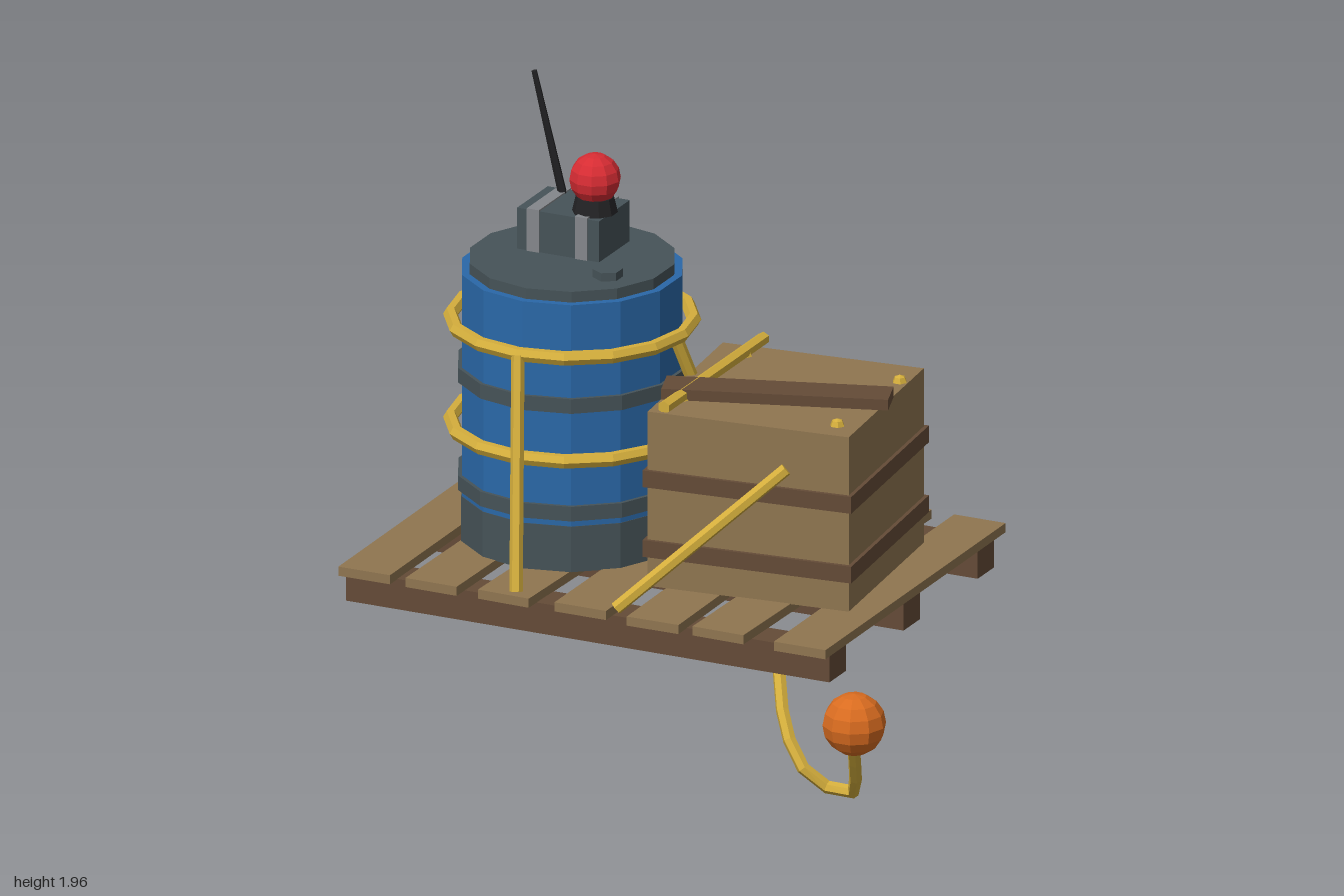
import * as THREE from 'three';

const mat = (name, color) => {
  const m = new THREE.MeshStandardMaterial({ color, flatShading: true });
  m.name = name;
  return m;
};

export function createModel() {
  const model = new THREE.Group();
  model.name = 'supplyPallet';
  const tan = mat('tanWood', 0x8f7550);
  const brown = mat('brownWood', 0x644b37);
  const blue = mat('blueSteel', 0x2a68a8);
  const slate = mat('slateMetal', 0x465358);
  const grey = mat('lightMetal', 0x84878b);
  const yellow = mat('yellowRope', 0xd4ae3c);
  const black = mat('blackRubber', 0x222224);
  const red = mat('redLens', 0xd62c33);
  const orange = mat('orangeFloat', 0xd96c20);

  const add = (name, geo, material, x = 0, y = 0, z = 0, ry = 0, parent = model) => {
    const mesh = new THREE.Mesh(geo, material);
    mesh.name = name;
    mesh.position.set(x, y, z);
    mesh.rotation.y = ry;
    parent.add(mesh);
    return mesh;
  };
  const box = (w, h, d) => new THREE.BoxGeometry(w, h, d);
  const cyl = (r0, r1, h, n) => new THREE.CylinderGeometry(r0, r1, h, n);

  // Straight rod between two points
  const rod = (name, a, b, r0, r1, sides, material) => {
    const p = new THREE.Vector3(...a), q = new THREE.Vector3(...b);
    const dir = q.clone().sub(p);
    const mid = p.clone().add(q).multiplyScalar(0.5);
    const mesh = add(name, cyl(r1, r0, dir.length(), sides), material, mid.x, mid.y, mid.z);
    mesh.quaternion.setFromUnitVectors(new THREE.Vector3(0, 1, 0), dir.normalize());
  };

  // Pallet: three runners under seven slightly crooked slats
  for (const z of [0.378, -0.142, -0.662]) add('palletRunner', box(1.67, 0.1, 0.115), brown, -0.15, 0.43, z);
  const slats = [
    [-0.9, -0.15, 0.006], [-0.655, -0.142, -0.01], [-0.4, -0.153, -0.027], [-0.15, -0.15, 0],
    [0.095, -0.142, 0.014], [0.34, -0.143, -0.018], [0.61, -0.14, 0.004],
  ];
  slats.forEach(([x, z, ry], i) =>
    add('palletSlat', box(0.178, 0.03, 1.275), tan, x, 0.494 + (i % 2) * 0.003, z, ry));

  // Barrel
  const bx = -0.467, bz = -0.1;
  add('barrelBody', cyl(0.35, 0.35, 0.73, 14), blue, bx, 1.025, bz);
  add('barrelBase', cyl(0.352, 0.352, 0.15, 14), slate, bx, 0.585, bz);
  for (const y of [0.705, 1.06]) add('barrelHoop', cyl(0.362, 0.362, 0.048, 14), slate, bx, y, bz);
  add('barrelLid', cyl(0.325, 0.325, 0.04, 14), slate, bx, 1.405, bz);
  add('barrelBung', cyl(0.047, 0.047, 0.03, 6), slate, -0.285, 1.437, 0.02);
  for (const y of [0.885, 1.225]) {
    const ring = add('barrelRope', new THREE.TorusGeometry(0.378, 0.023, 6, 16), yellow, bx, y, bz);
    ring.rotation.x = Math.PI / 2;
  }

  // Beacon unit on the lid
  add('beaconBox', box(0.283, 0.14, 0.215), slate, -0.508, 1.49, -0.192);
  for (const x of [-0.593, -0.427]) add('beaconStrap', box(0.042, 0.145, 0.225), grey, x, 1.4925, -0.192);
  add('beaconCollar', cyl(0.06, 0.072, 0.05, 10), black, -0.42, 1.585, -0.165);
  add('beaconLamp', new THREE.SphereGeometry(0.081, 10, 8), red, -0.42, 1.668, -0.165);
  rod('antenna', [-0.582, 1.55, -0.27], [-0.653, 1.97, -0.212], 0.015, 0.009, 5, black);

  // Crate, turned a little on the pallet
  const crate = new THREE.Group();
  crate.name = 'crate';
  crate.position.set(0.25, 0, -0.142);
  crate.rotation.y = 0.1;
  model.add(crate);
  add('crateBody', box(0.665, 0.575, 0.665), tan, 0, 0.7975, 0, 0, crate);
  for (const y of [0.636, 0.866]) add('crateBand', box(0.69, 0.055, 0.69), brown, 0, y, 0, 0, crate);
  add('loosePlank', box(0.71, 0.035, 0.122), brown, 0.26, 1.1025, -0.063, 0.315);
  for (const x of [0, 0.535]) for (const z of [-0.363, 0.075])
    add('crateStud', new THREE.SphereGeometry(0.024, 6, 4), yellow, x, 1.085, z);

  // Lashings
  const lash = (a, b) => rod('lashingRope', a, b, 0.021, 0.021, 6, yellow);
  lash([0, 1.1, -0.495], [0, 1.1, 0.205]);
  lash([-0.465, 1.225, 0.285], [-0.385, 0.515, 0.46]);
  lash([-0.465, 1.225, -0.49], [-0.385, 0.515, -0.76]);
  lash([-0.04, 0.515, 0.46], [0.41, 0.955, 0.18]);
  lash([-0.04, 0.515, -0.75], [0.41, 0.955, -0.46]);
  lash([-0.107, 1.225, -0.09], [-0.06, 0.97, -0.19]);

  // Trailing line and float
  const line = new THREE.CatmullRomCurve3([
    [0.43, 0.395, 0.28], [0.52, 0.2, 0.41], [0.6, 0.09, 0.45], [0.66, 0.03, 0.42],
    [0.765, 0.03, 0.43], [0.81, 0.13, 0.51], [0.875, 0.33, 0.66],
  ].map(p => new THREE.Vector3(...p)));
  const lineMat = yellow;
  add('trailingLine', new THREE.TubeGeometry(line, 10, 0.021, 6), lineMat);
  add('float', new THREE.SphereGeometry(0.1, 10, 8), orange, 0.897, 0.362, 0.692);

  return model;
}
